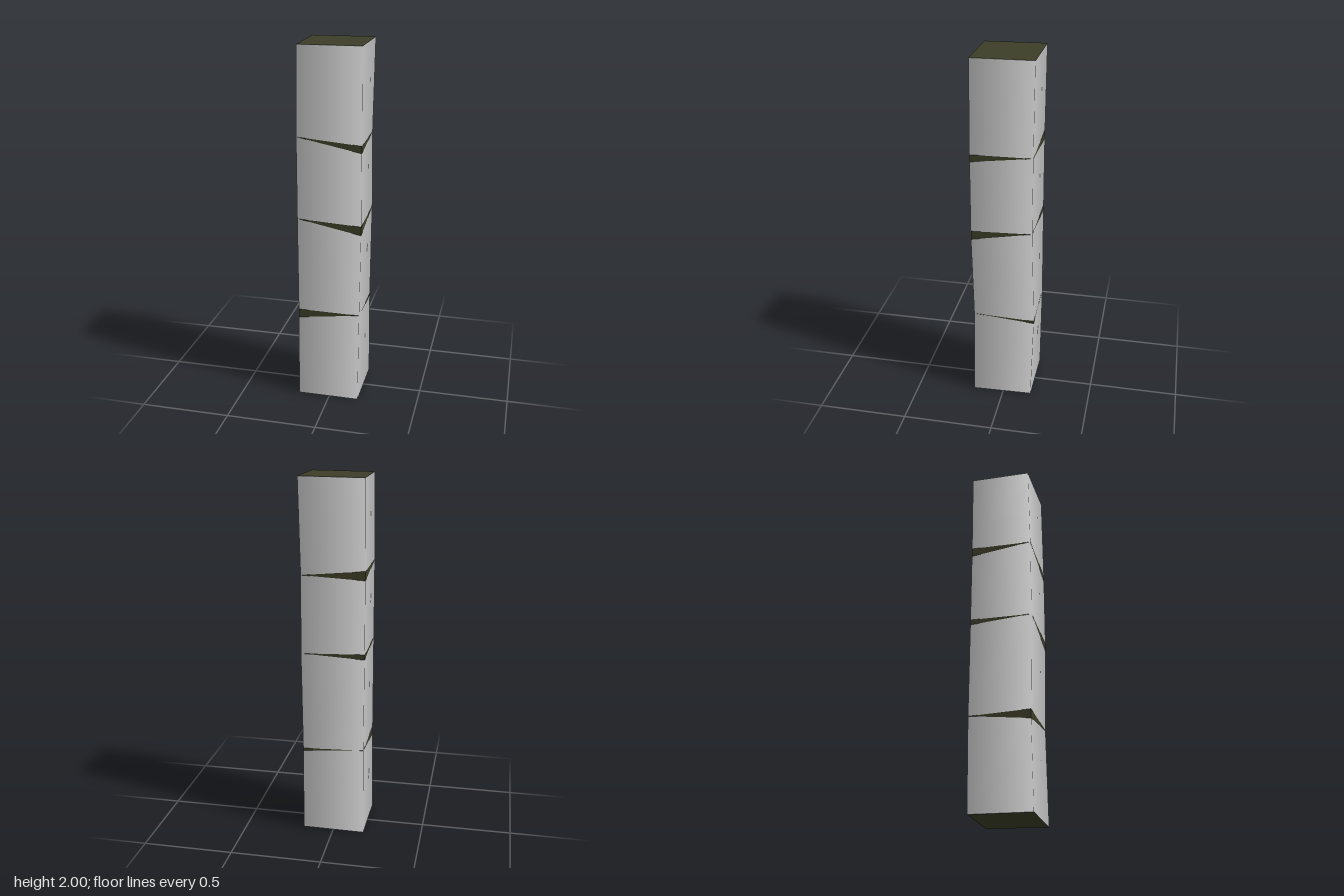
import * as THREE from 'three';

// Rings of four corners: front-left of image (-x,+z), (+x,+z), (+x,-z), (-x,-z).
// xz gives the corners; low and high are the heights of the lower and upper edge of the joint.
const rings = [
  { xz: [[-0.178, 0.173], [0.166, 0.173], [0.168, -0.165], [-0.177, -0.165]],
    low: [0, 0, 0.01, 0.008], high: [0, 0, 0.01, 0.008] },
  { xz: [[-0.175, 0.165], [0.169, 0.163], [0.163, -0.177], [-0.175, -0.171]],
    low: [0.48, 0.525, 0.495, 0.52], high: [0.53, 0.525, 0.51, 0.52] },
  { xz: [[-0.173, 0.174], [0.177, 0.171], [0.172, -0.163], [-0.176, -0.168]],
    low: [1.07, 1.0, 1.06, 1.045], high: [1.07, 1.05, 1.06, 1.075] },
  { xz: [[-0.173, 0.172], [0.176, 0.17], [0.168, -0.163], [-0.176, -0.167]],
    low: [1.52, 1.45, 1.49, 1.475], high: [1.52, 1.49, 1.49, 1.525] },
  { xz: [[-0.168, 0.161], [0.173, 0.164], [0.177, -0.168], [-0.17, -0.172]],
    low: [1.994, 1.996, 2, 1.998], high: [1.994, 1.996, 2, 1.998] },
];

const corners = (ring, edge) => ring.xz.map(([x, z], i) => [x, ring[edge][i], z]);

// Four walls between two rings of corners
function wallGeometry(lower, upper, smooth) {
  const g = new THREE.BufferGeometry();
  const index = [];
  for (let i = 0; i < 4; i++) {
    const j = (i + 1) % 4;
    index.push(i, j, 4 + j, i, 4 + j, 4 + i);
  }
  const points = [...lower, ...upper];
  g.setAttribute('position', new THREE.Float32BufferAttribute(points.flat(), 3));
  g.setIndex(index);
  if (smooth) {
    // diagonal corner normals give softly rounded shading
    const normals = points.flatMap(([x, , z]) => [Math.sign(x) * Math.SQRT1_2, 0, Math.sign(z) * Math.SQRT1_2]);
    g.setAttribute('normal', new THREE.Float32BufferAttribute(normals, 3));
    return g;
  }
  const flat = g.toNonIndexed();
  flat.computeVertexNormals();
  return flat;
}

function capGeometry(points, up) {
  const g = new THREE.BufferGeometry();
  g.setAttribute('position', new THREE.Float32BufferAttribute(points.flat(), 3));
  g.setIndex(up ? [0, 1, 2, 0, 2, 3] : [0, 2, 1, 0, 3, 2]);
  g.computeVertexNormals();
  return g;
}

export function createModel() {
  const model = new THREE.Group();
  model.name = 'segmentedColumn';
  const grey = new THREE.MeshStandardMaterial({ color: 0xcccccc });
  const olive = new THREE.MeshStandardMaterial({ color: 0x3c3e27 });
  const add = (name, geometry, material) => {
    const mesh = new THREE.Mesh(geometry, material);
    mesh.name = name;
    model.add(mesh);
  };

  // Column segments
  for (let i = 0; i < rings.length - 1; i++) {
    add(`segment${i + 1}`, wallGeometry(corners(rings[i], 'high'), corners(rings[i + 1], 'low'), true), grey);
  }
  // Dark wedge-shaped joints
  for (let i = 1; i < rings.length - 1; i++) {
    add(`joint${i}`, wallGeometry(corners(rings[i], 'low'), corners(rings[i], 'high'), false), olive);
  }
  // Dark end caps
  add('bottomCap', capGeometry(corners(rings[0], 'low'), false), olive);
  add('topCap', capGeometry(corners(rings[4], 'high'), true), olive);
  return model;
}
